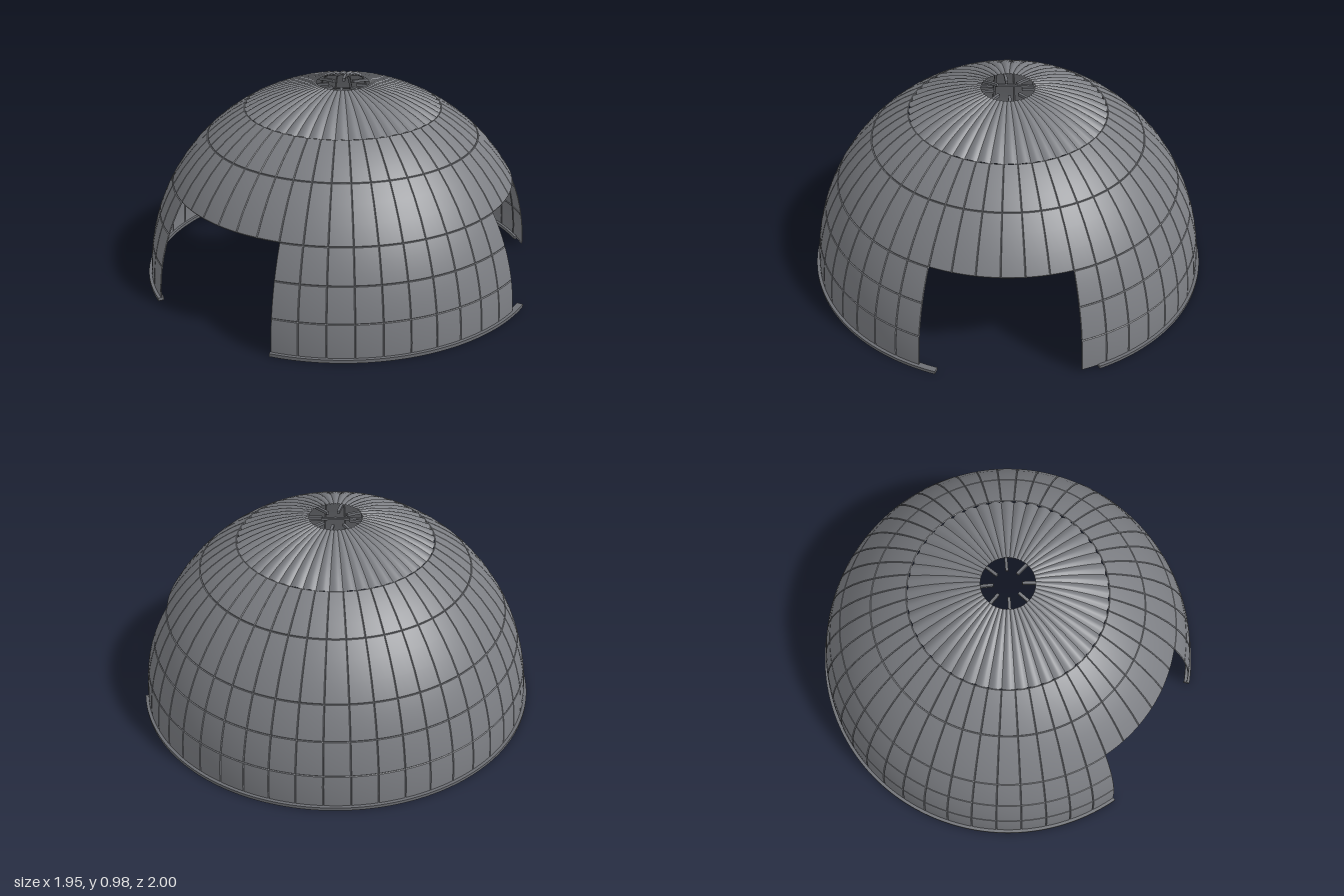
import * as THREE from 'three';
import { mergeGeometries } from 'three/addons/utils/BufferGeometryUtils.js';

const RAD = Math.PI / 180;
const R = 0.985;        // shell radius
const STEP = 7.5;       // degrees per panel

// point on the dome: azimuth a runs from +x towards +z, l is elevation
function spot(a, l, r) {
  const c = Math.cos(l * RAD) * r;
  return new THREE.Vector3(c * Math.cos(a * RAD), Math.sin(l * RAD) * r, c * Math.sin(a * RAD));
}

function geometryFrom(positions, normals) {
  const g = new THREE.BufferGeometry();
  g.setAttribute('position', new THREE.Float32BufferAttribute(positions, 3));
  g.setAttribute('normal', new THREE.Float32BufferAttribute(normals, 3));
  return g;
}

// one curved panel with a narrow recessed seam around its border
function seamedPanel(a0, a1, l0, l1) {
  const seam = 0.2, pos = [], nor = [];
  const stops = (s, e, w) => [s, s + w, s + (e - s) / 3, s + (e - s) * 2 / 3, e - w, e];
  const as = stops(a0, a1, seam / Math.cos(l0 * RAD)), ls = stops(l0, l1, seam);
  const edge = i => i === 0 || i === 5;
  const at = (i, j) => spot(as[i], ls[j], edge(i) || edge(j) ? R - 0.004 : R);
  for (let i = 0; i < 5; i++) for (let j = 0; j < 5; j++) {
    const q = [at(i, j), at(i, j + 1), at(i + 1, j + 1), at(i + 1, j)];
    const flat = i === 0 || i === 4 || j === 0 || j === 4;
    const n = q[2].clone().sub(q[0]).cross(q[3].clone().sub(q[1])).normalize();
    for (const k of [0, 1, 2, 0, 2, 3]) {
      pos.push(...q[k].toArray());
      nor.push(...(flat ? n : q[k].clone().normalize()).toArray());
    }
  }
  return geometryFrom(pos, nor);
}

// one rounded pleat of the crown
function pleat(a0, a1, l0, l1) {
  const nu = 6, nv = 5, pos = [], index = [];
  for (let i = 0; i <= nu; i++) for (let j = 0; j <= nv; j++) {
    const u = i / nu, v = j / nv;
    const bulge = 0.012 * (1 - 0.6 * v) * (Math.sin(Math.PI * u) - 1);
    pos.push(...spot(a0 + (a1 - a0) * u, l0 + (l1 - l0) * v, R + bulge).toArray());
    if (i < nu && j < nv) {
      const p = i * (nv + 1) + j, q = p + nv + 1;
      index.push(p, p + 1, q + 1, p, q + 1, q);
    }
  }
  const g = new THREE.BufferGeometry();
  g.setAttribute('position', new THREE.Float32BufferAttribute(pos, 3));
  g.setIndex(index);
  g.computeVertexNormals();
  return g;
}

// flat ring segment, extruded along z
function ringSegment(rIn, rOut, a0, a1, depth) {
  const s = new THREE.Shape();
  s.absarc(0, 0, rOut, a0 * RAD, a1 * RAD, false);
  s.absarc(0, 0, rIn, a1 * RAD, a0 * RAD, true);
  return new THREE.ExtrudeGeometry(s, { depth, bevelEnabled: false, curveSegments: 64 });
}

// horizontal ring segment with its top at y
function hoop(rIn, rOut, a0, a1, y, height) {
  return ringSegment(rIn, rOut, a0, a1, height).rotateX(Math.PI / 2).translate(0, y, 0);
}

export function createModel() {
  const shellGrey = new THREE.MeshStandardMaterial({ color: 0x7c7e83, side: THREE.DoubleSide });
  shellGrey.name = 'shell grey';
  const frameGrey = new THREE.MeshStandardMaterial({ color: 0x6c6e73 });
  frameGrey.name = 'frame grey';

  const model = new THREE.Group();
  model.name = 'dome';
  const add = (name, geometry, material) => {
    const m = new THREE.Mesh(geometry, material);
    m.name = name;
    m.position.set(0.017, 0.008, 0);
    model.add(m);
  };

  // the two doorways in the lower wall
  const isOpen = a => a >= 345 || a < 30 || (a >= 105 && a < 150);

  const wall = [], roof = [], crown = [];
  for (let a = 0; a < 360; a += STEP) {
    if (!isOpen(a)) for (const l of [0, 10, 20]) wall.push(seamedPanel(a, a + STEP, l, l + 10));
    roof.push(seamedPanel(a, a + STEP, 30, 47), seamedPanel(a, a + STEP, 47, 60.5));
    crown.push(pleat(a, a + STEP, 60.5, 82.4));
  }
  add('lowerWall', mergeGeometries(wall), shellGrey);
  add('upperRoof', mergeGeometries(roof), shellGrey);
  add('pleatedCrown', mergeGeometries(crown), shellGrey);

  // base rails under the two wall sections
  add('frontBaseRail', hoop(0.97, 1, 25, 105, 0.008, 0.016), frameGrey);
  add('backBaseRail', hoop(0.97, 1, 150, 340, 0.008, 0.016), frameGrey);

  // inner ring carrying the roof edge
  const l = 30 * RAD;
  add('innerRing', hoop(0.835, R * Math.cos(l) - 0.006, 0, 359.99, R * Math.sin(l) + 0.008, 0.012), frameGrey);

  // inner ribs, shortened above the doorways
  for (let a = 0; a < 360; a += 45) {
    const rib = ringSegment(0.958, 0.972, isOpen(a) ? 30 : 0, 86, 0.014);
    add('rib', rib.translate(0, 0, -0.007).rotateY(-a * RAD), frameGrey);
  }
  return model;
}
